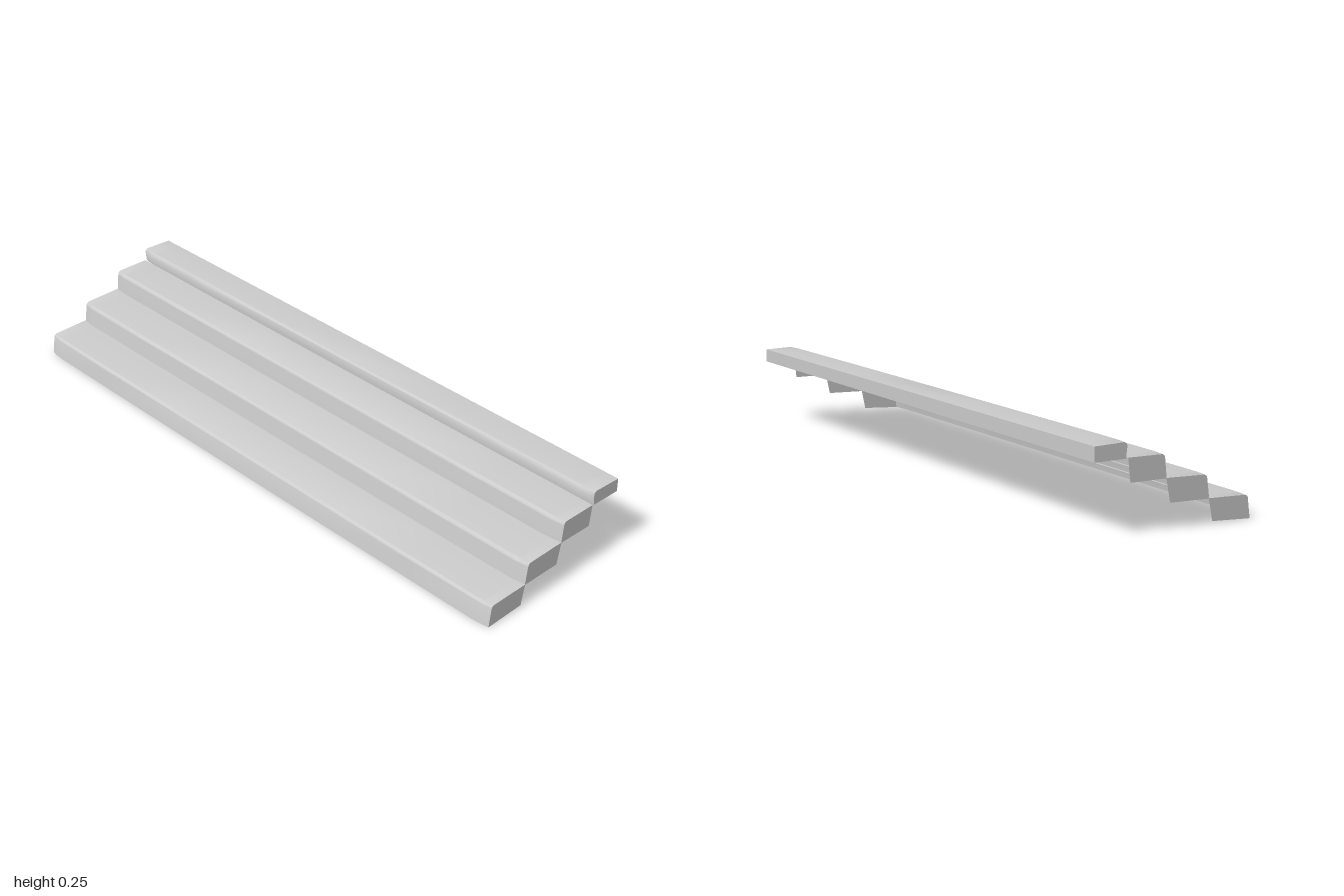
import * as THREE from 'three';
import { toCreasedNormals } from 'three/addons/utils/BufferGeometryUtils.js';

// Each step: riser foot, nose, back end of the tread, lower back corner of the end panel, all as [z, y]
const STEPS = [
  { foot: [0.26, 0], nose: [0.252, 0.067], back: [0.11, 0.072], under: [0.123, 0.008] },
  { foot: [0.12, 0.071], nose: [0.112, 0.138], back: [-0.032, 0.143], under: [-0.018, 0.075] },
  { foot: [-0.022, 0.142], nose: [-0.028, 0.208], back: [-0.155, 0.21], under: [-0.147, 0.143] },
  { foot: [-0.153, 0.208], nose: [-0.149, 0.252], back: [-0.26, 0.25], under: [-0.26, 0.208] },
];
const RADIUS = 0.011;
const XS = [-1, -0.99, -0.975, -0.96, -0.94, -0.7, -0.35, 0, 0.35, 0.7, 0.94, 0.96, 0.975, 0.99, 1];

// How far the riser curves back towards the ends
function recess(x) {
  const t = Math.max(0, (Math.abs(x) - 0.93) / 0.07);
  return 0.003 * x * x + 0.006 * t * t;
}

// Cross-section of one step at x: riser, rounded nose, tread
function section({ foot, nose, back }, x) {
  const r = recess(x);
  const points = [[foot[0] - r, foot[1]]];
  for (let k = 0; k <= 5; k++) {
    const a = (k / 5) * Math.PI / 2;
    points.push([
      nose[0] - r - RADIUS * (1 - Math.cos(a)),
      nose[1] - RADIUS * (1 - Math.sin(a)),
    ]);
  }
  points.push(back);
  return points;
}

function shellGeometry(step) {
  const positions = [];
  const index = [];
  const n = section(step, 0).length;
  XS.forEach((x, i) => {
    section(step, x).forEach(([z, y], j) => {
      positions.push(x, y, z);
      if (i === XS.length - 1 || j === n - 1) return;
      const a = i * n + j;
      const b = a + n;
      index.push(a, b, b + 1, a, b + 1, a + 1);
    });
  });
  const geometry = new THREE.BufferGeometry();
  geometry.setAttribute('position', new THREE.Float32BufferAttribute(positions, 3));
  geometry.setIndex(index);
  return toCreasedNormals(geometry, Math.PI / 5);
}

function endGeometry(step, side) {
  const outline = [...section(step, 1), step.under];
  const shape = new THREE.Shape(outline.map(([z, y]) => new THREE.Vector2(side * -z, y)));
  return new THREE.ShapeGeometry(shape).rotateY(side * Math.PI / 2).translate(side, 0, 0);
}

export function createModel() {
  const model = new THREE.Group();
  model.name = 'steps';
  const material = new THREE.MeshStandardMaterial({ color: 0xcccccc, side: THREE.DoubleSide });
  const add = (parent, name, geometry) => {
    const mesh = new THREE.Mesh(geometry, material);
    mesh.name = name;
    parent.add(mesh);
  };

  STEPS.forEach((step, i) => {
    const group = new THREE.Group();
    group.name = `step${i + 1}`;
    add(group, 'riserAndTread', shellGeometry(step));
    add(group, 'leftEnd', endGeometry(step, 1));
    add(group, 'rightEnd', endGeometry(step, -1));
    model.add(group);
  });

  // Plate closing the back of the top step
  const { back, under } = STEPS[STEPS.length - 1];
  const plate = new THREE.PlaneGeometry(2, back[1] - under[1]).rotateY(Math.PI);
  add(model, 'backPlate', plate.translate(0, (back[1] + under[1]) / 2, back[0]));
  return model;
}
